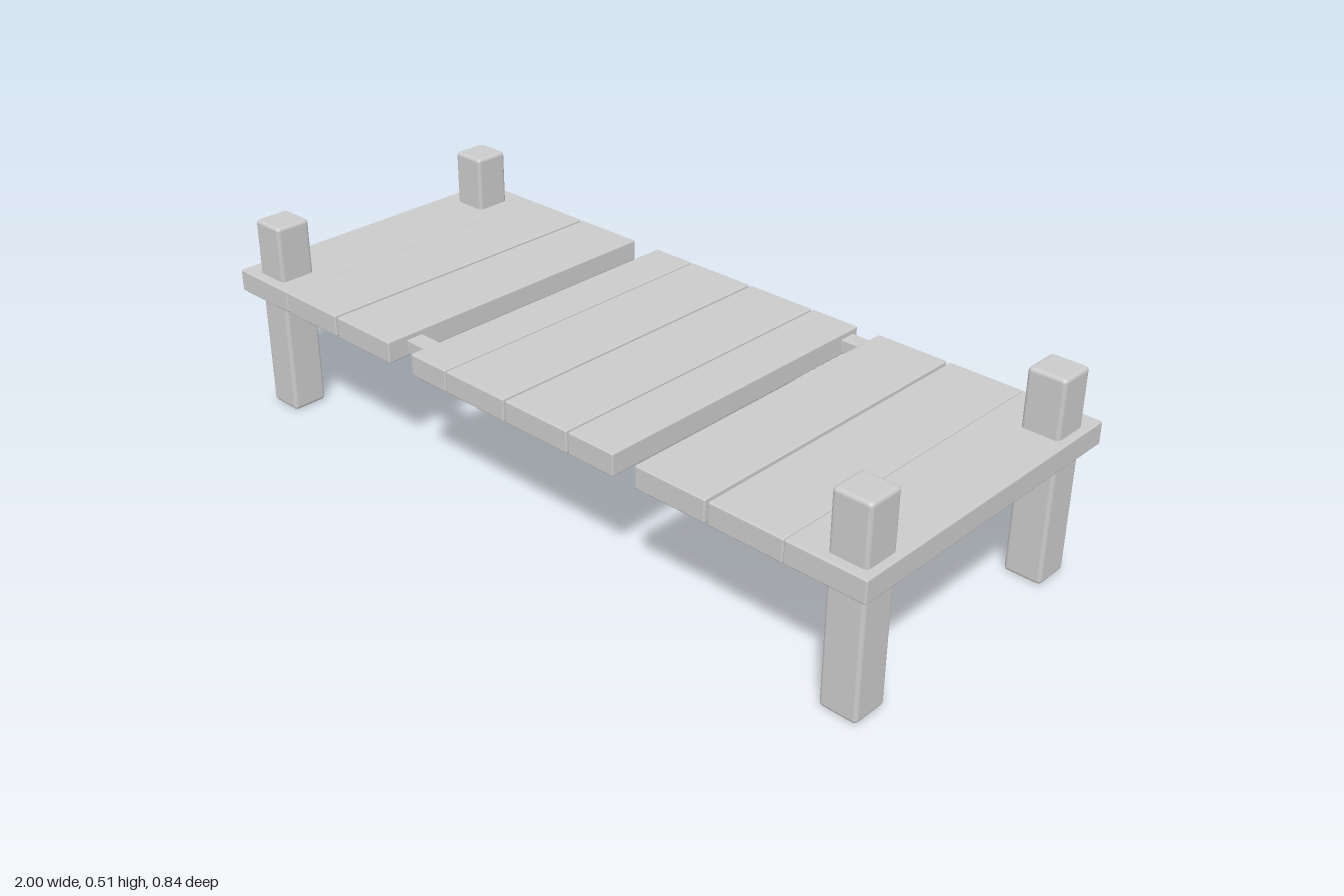
import * as THREE from 'three';
import { RoundedBoxGeometry } from 'three/addons/geometries/RoundedBoxGeometry.js';

const material = new THREE.MeshStandardMaterial({ color: 0xcccccc });

// Softly rounded beam given by its extents on each axis
function beam(name, [x0, x1], [y0, y1], [z0, z1], radius) {
  const geometry = new RoundedBoxGeometry(x1 - x0, y1 - y0, z1 - z0, 2, radius);
  const mesh = new THREE.Mesh(geometry, material);
  mesh.position.set((x0 + x1) / 2, (y0 + y1) / 2, (z0 + z1) / 2);
  mesh.name = name;
  return mesh;
}

export function createModel() {
  const dock = new THREE.Group();
  dock.name = 'dock';

  // Deck planks: two end sections and a middle one, with gaps between
  const planks = new THREE.Group();
  planks.name = 'planks';
  const spans = [
    [-1, -0.805], [-0.803, -0.609], [-0.601, -0.404],
    [-0.322, -0.201], [-0.197, -0.004], [0.002, 0.197], [0.202, 0.337],
    [0.4, 0.595], [0.603, 0.798], [0.799, 1],
  ];
  spans.forEach((span, i) => {
    planks.add(beam(`plank${i + 1}`, span, [0.312, 0.369], [-0.418, 0.418], 0.004));
  });
  dock.add(planks);

  // Short battens bridging the two gaps
  dock.add(beam('rightBatten', [-0.62, -0.3], [0.322, 0.355], [0.315, 0.362], 0.002));
  dock.add(beam('leftBatten', [0.31, 0.61], [0.322, 0.355], [-0.402, -0.356], 0.002));

  // Corner posts passing through the deck
  for (const [side, xs] of [['right', [-0.95, -0.855]], ['left', [0.885, 0.98]]]) {
    for (const [end, zs] of [['Front', [0.297, 0.392]], ['Back', [-0.367, -0.272]]]) {
      dock.add(beam(`${side}${end}Post`, xs, [0, 0.515], zs, 0.01));
    }
  }
  return dock;
}
